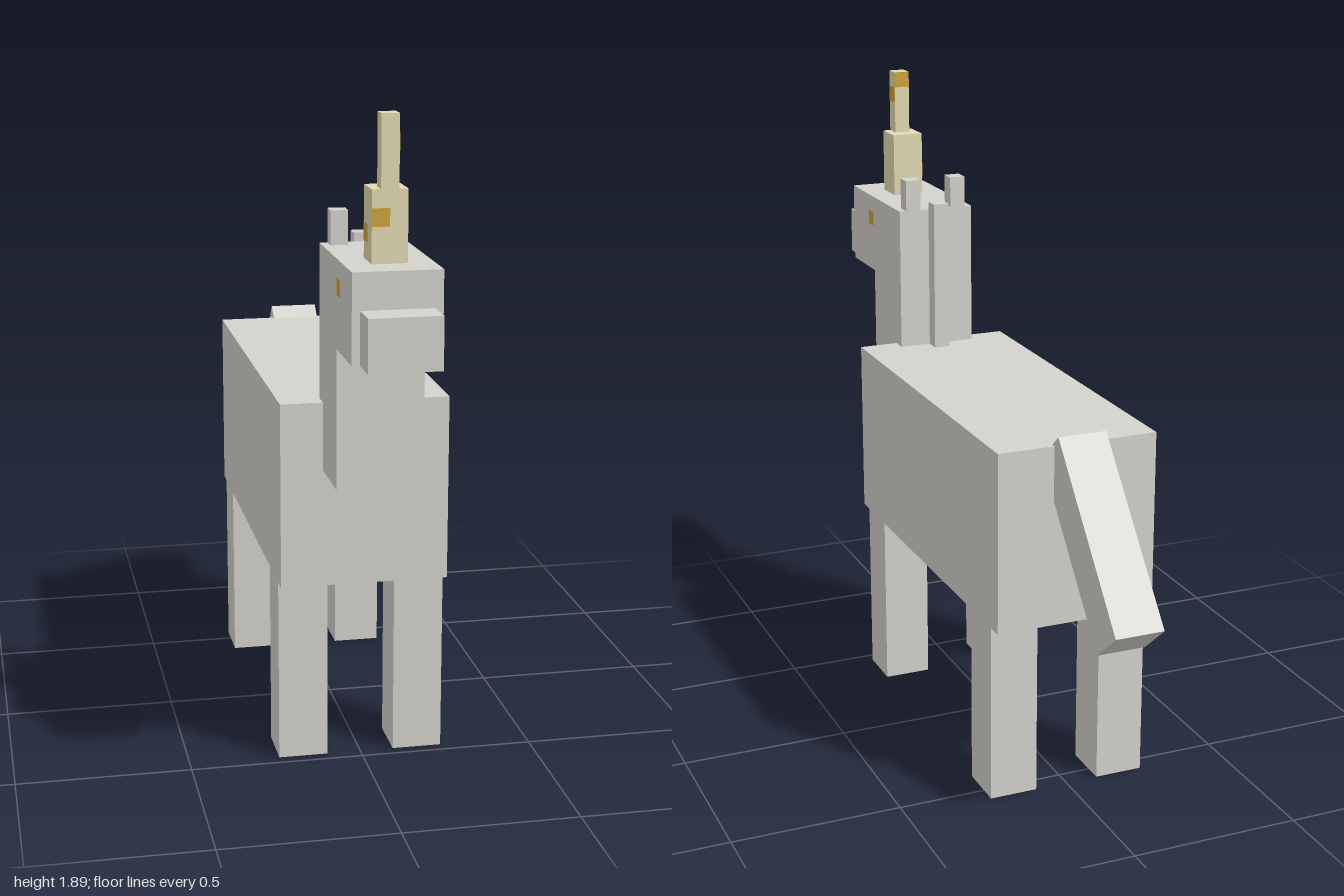
import * as THREE from 'three';

export function createModel() {
  const model = new THREE.Group();
  model.name = 'hornedHorse';

  const coat = new THREE.MeshStandardMaterial({ name: 'coatGrey', color: 0xd3d2cc });
  const horn = new THREE.MeshStandardMaterial({ name: 'hornCream', color: 0xe2d9b2 });
  const gold = new THREE.MeshStandardMaterial({ name: 'gold', color: 0xcda33c });

  // Box given by its extents along each axis
  function box(name, material, [x0, x1], [y0, y1], [z0, z1]) {
    const mesh = new THREE.Mesh(new THREE.BoxGeometry(x1 - x0, y1 - y0, z1 - z0), material);
    mesh.name = name;
    mesh.position.set((x0 + x1) / 2, (y0 + y1) / 2, (z0 + z1) / 2);
    model.add(mesh);
    return mesh;
  }

  // Same box on both sides of the body
  function pair(name, material, [x0, x1], y, z) {
    box(name + 'Left', material, [x0, x1], y, z);
    box(name + 'Right', material, [-x1, -x0], y, z);
  }

  // Body and legs
  box('body', coat, [-0.24, 0.24], [0.537, 1.07], [-0.602, 0.515]);
  pair('frontLeg', coat, [0.097, 0.24], [0, 0.537], [0.322, 0.466]);
  pair('backLeg', coat, [0.097, 0.24], [0, 0.537], [-0.553, -0.407]);

  // Neck, head, muzzle and mane
  box('neck', coat, [-0.12, 0.12], [0.876, 1.265], [0.467, 0.71]);
  box('head', coat, [-0.12, 0.12], [1.265, 1.508], [0.467, 0.904]);
  box('muzzle', coat, [-0.098, 0.098], [1.265, 1.408], [0.904, 1]);
  box('mane', coat, [-0.024, 0.024], [1.05, 1.532], [0.419, 0.467]);
  pair('ear', coat, [0.05, 0.098], [1.508, 1.603], [0.467, 0.515]);

  // Sloping tail
  const tail = box('tail', coat, [-0.072, 0.072], [-0.29, 0.29], [-0.072, 0.072]);
  tail.position.set(0, 0.835, -0.758);
  tail.rotation.x = THREE.MathUtils.degToRad(40);

  // Two-step horn
  box('hornBase', horn, [-0.048, 0.048], [1.508, 1.702], [0.709, 0.806]);
  box('hornTip', horn, [-0.024, 0.024], [1.702, 1.895], [0.758, 0.806]);

  // Thin gold plates: eyes and horn flecks
  const t = 0.001;
  pair('eye', gold, [0.12, 0.12 + t], [1.413, 1.457], [0.712, 0.756]);
  box('hornFleckFront', gold, [-0.048, 0], [1.605, 1.653], [0.806, 0.806 + t]);
  box('hornFleckRight', gold, [-0.048 - t, -0.048], [1.557, 1.605], [0.709, 0.757]);
  box('tipFleckLeft', gold, [0.024, 0.024 + t], [1.799, 1.847], [0.758, 0.806]);
  box('tipFleckBack', gold, [-0.024, 0.024], [1.847, 1.895], [0.758 - t, 0.758]);

  return model;
}
